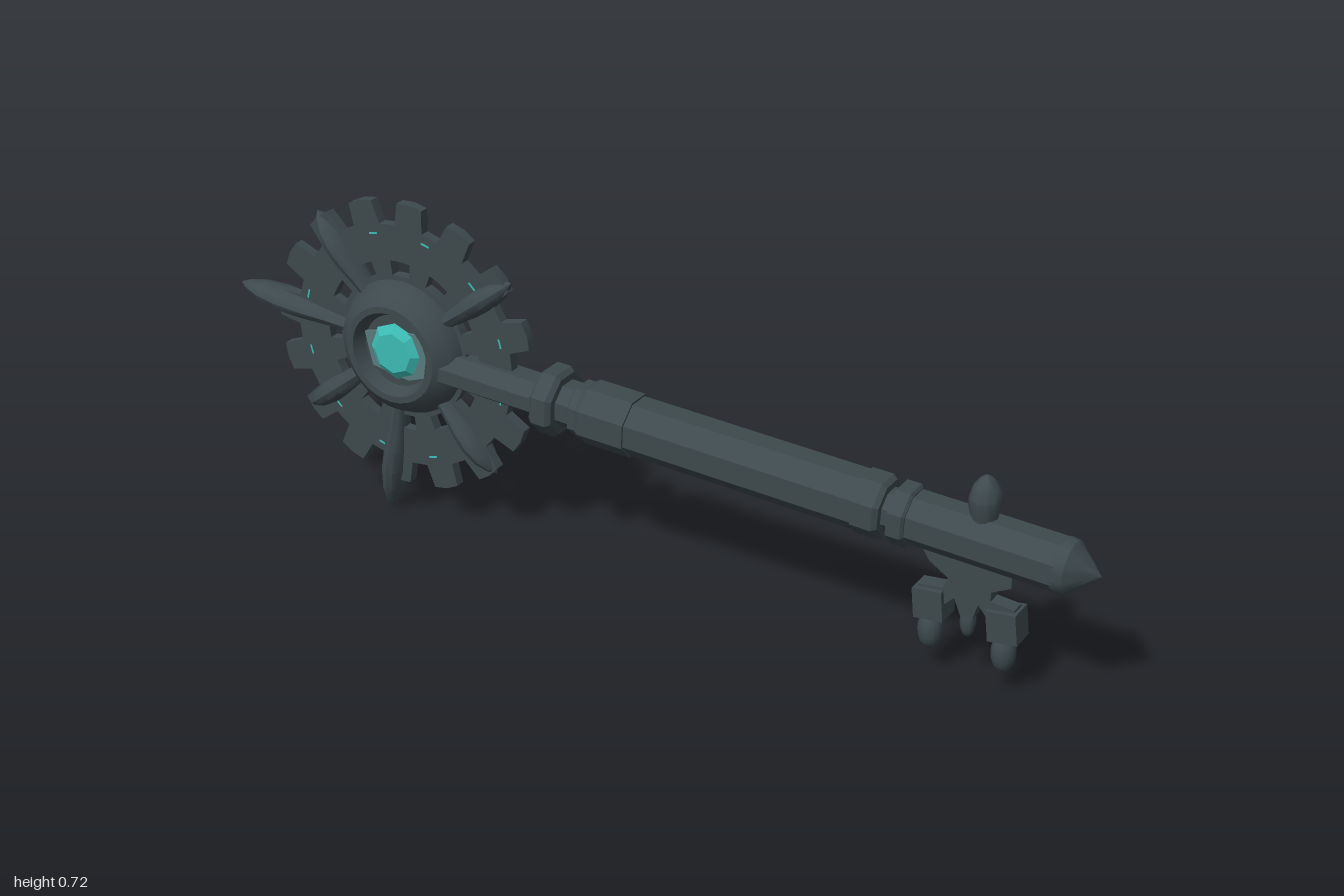
import * as THREE from 'three';
import { toCreasedNormals } from 'three/addons/utils/BufferGeometryUtils.js';

const iron = new THREE.MeshStandardMaterial({ color: 0x3d494d });
iron.name = 'dark iron';
const teal = new THREE.MeshStandardMaterial({ color: 0x3cbab2 });
teal.name = 'teal gem';
const dull = new THREE.MeshStandardMaterial({ color: 0x5a7a7c });
dull.name = 'dull teal';

const V = (x, y) => new THREE.Vector2(x, y);
const points = list => list.map(([x, y]) => V(x, y));
const rad = THREE.MathUtils.degToRad;

function add(parent, name, geometry, material = iron, crease = 0.6) {
  const mesh = new THREE.Mesh(toCreasedNormals(geometry, crease), material);
  mesh.name = name;
  parent.add(mesh);
  return mesh;
}

// Leaf-shaped spike along +y with an elliptical section
function spikeGeometry(length, width, depth) {
  const profile = [[0, 0], [0.55, 0], [0.7, 0.25], [0.95, 0.5], [1, 0.66], [0.8, 0.82], [0.4, 0.94], [0, 1]];
  return new THREE.LatheGeometry(points(profile.map(([r, y]) => [r, y * length])), 12).scale(width, 1, depth);
}

// Plate extruded evenly about z = 0
function plate(shape, depth) {
  return new THREE.ExtrudeGeometry(shape, { depth, bevelEnabled: false, curveSegments: 8 }).translate(0, 0, -depth / 2);
}

// Outline of an arc-shaped slot
function arcSlot(Type, r0, r1, a0, a1) {
  const slot = new Type();
  slot.absarc(0, 0, r1, a0, a1, false);
  slot.absarc(0, 0, r0, a1, a0, true);
  slot.closePath();
  return slot;
}

function makeWheel() {
  const wheel = new THREE.Group();
  wheel.name = 'gearWheel';

  // Toothed disc with a ring of holes
  const outline = [];
  const teeth = 16;
  for (let i = 0; i < teeth; i++) {
    const mid = rad(85 + i * 360 / teeth);
    for (const [r, a] of [[0.272, -7.2], [0.322, -5.4], [0.325, 0], [0.322, 5.4], [0.272, 7.2]]) {
      outline.push(V(r * Math.cos(mid + rad(a)), r * Math.sin(mid + rad(a))));
    }
  }
  const disc = new THREE.Shape(outline);
  for (let i = 0; i < 12; i++) {
    const a = rad(i * 30);
    disc.holes.push(arcSlot(THREE.Path, 0.16, 0.192, a - 0.13, a + 0.13));
  }
  add(wheel, 'toothedDisc', plate(disc, 0.022));

  // Fine glowing dashes near the rim
  for (let i = 0; i < 12; i++) {
    const a = rad(i * 30 + 15);
    add(wheel, 'rimDash', plate(arcSlot(THREE.Shape, 0.25, 0.254, a - 0.04, a + 0.04), 0.024), teal);
  }

  // Hub with a dished recess on both sides
  const hub = points([
    [0, -0.034], [0.08, -0.034], [0.094, -0.062], [0.108, -0.062], [0.135, -0.04], [0.15, -0.012],
    [0.15, 0.012], [0.135, 0.04], [0.108, 0.062], [0.094, 0.062], [0.08, 0.034], [0, 0.034],
  ]);
  add(wheel, 'hub', new THREE.LatheGeometry(hub, 32).rotateX(Math.PI / 2));

  // Faceted gem over a dull setting in the front recess
  const setting = new THREE.Shape(points([
    [-0.078, 0.03], [-0.03, 0.04], [0.05, 0.05], [0.08, 0.02], [0.07, -0.045], [0.03, -0.06], [-0.06, -0.045],
  ]));
  add(wheel, 'gemSetting', plate(setting, 0.008).translate(0, 0, 0.036), dull);
  const stone = new THREE.CylinderGeometry(0.045, 0.064, 0.014, 8).rotateX(Math.PI / 2);
  add(wheel, 'gem', stone.translate(0, 0, 0.045), teal, 0.1);

  // Two long and four short spikes
  for (const [angle, length] of [[174, 0.437], [262, 0.404], [37, 0.335], [130, 0.337], [218, 0.33], [312, 0.33]]) {
    const start = 0.1;
    const spike = add(wheel, 'wheelSpike', spikeGeometry(length - start, 0.027, 0.039));
    const a = rad(angle);
    spike.position.set(start * Math.cos(a), start * Math.sin(a), 0);
    spike.rotation.z = a - Math.PI / 2;
  }
  return wheel;
}

function makeRod() {
  const rod = new THREE.Group();
  rod.name = 'rod';
  const turned = (name, profile, sides = 8, crease = 0.3) => {
    const g = new THREE.LatheGeometry(points(profile.map(([x, r]) => [r, x])), sides, Math.PI / sides);
    return add(rod, name, g.rotateZ(-Math.PI / 2), iron, crease);
  };

  // Neck from the hub to the first collar
  turned('neck', [[-0.46, 0], [-0.46, 0.058], [-0.2, 0.058], [-0.2, 0]]).scale.y = 0.68;

  // Collars and octagonal shaft
  turned('rearCollars', [
    [-0.22, 0], [-0.22, 0.066], [-0.21, 0.075], [-0.178, 0.075], [-0.168, 0.066], [-0.168, 0.05],
    [-0.138, 0.05], [-0.132, 0.06], [-0.115, 0.06], [-0.105, 0.067], [0, 0.067], [0, 0],
  ]);
  turned('shaft', [[0, 0], [0, 0.062], [0.51, 0.062], [0.51, 0]]);
  turned('frontCollars', [
    [0.51, 0], [0.51, 0.066], [0.555, 0.066], [0.565, 0.058], [0.565, 0.043], [0.585, 0.043],
    [0.585, 0.064], [0.615, 0.064], [0.62, 0.058], [0.62, 0],
  ]);
  turned('endShaft', [[0.6, 0], [0.6, 0.055], [0.93, 0.055], [0.93, 0]]);
  turned('tipCap', [
    [0.915, 0], [0.915, 0.052], [0.925, 0.056], [0.943, 0.054], [0.955, 0.042], [0.98, 0.02], [1.001, 0],
  ], 20, 0.6);
  return rod;
}

function makeBit() {
  const bit = new THREE.Group();
  bit.name = 'keyBit';

  // Spike on top of the end shaft
  add(bit, 'topSpike', spikeGeometry(0.14, 0.032, 0.035)).position.set(0.76, 0.318, 0);

  // Branching web below the shaft
  const web = new THREE.Shape(points([
    [0.64, 0.28], [0.66, 0.25], [0.7, 0.225], [0.69, 0.2], [0.64, 0.195], [0.64, 0.16], [0.69, 0.16],
    [0.715, 0.185], [0.73, 0.15], [0.755, 0.15], [0.765, 0.185], [0.79, 0.155], [0.84, 0.155],
    [0.84, 0.195], [0.79, 0.2], [0.79, 0.22], [0.83, 0.24], [0.83, 0.28],
  ]));
  add(bit, 'web', plate(web, 0.032));

  // Blocks with hanging drops
  const drop = (x, y, r, h) => {
    const m = add(bit, 'drop', new THREE.SphereGeometry(1, 14, 10).scale(r, h, r));
    m.position.set(x, y, 0);
  };
  for (const [x, y, tilt] of [[0.665, 0.16, 0.1], [0.82, 0.155, 0.12]]) {
    const block = add(bit, 'block', new THREE.BoxGeometry(0.062, 0.064, 0.056));
    block.position.set(x, y, 0);
    block.rotation.z = tilt;
    drop(x - 0.003, y - 0.066, 0.025, 0.042);
  }
  drop(0.74, 0.135, 0.016, 0.035);
  return bit;
}

export function createModel() {
  const model = new THREE.Group();
  model.name = 'ornateKey';

  const wheel = makeWheel();
  wheel.position.set(-0.565, 0.4, 0);

  const rod = makeRod();
  rod.position.set(0, 0.358, 0);
  rod.rotation.z = -0.049;

  model.add(wheel, rod, makeBit());
  return model;
}
